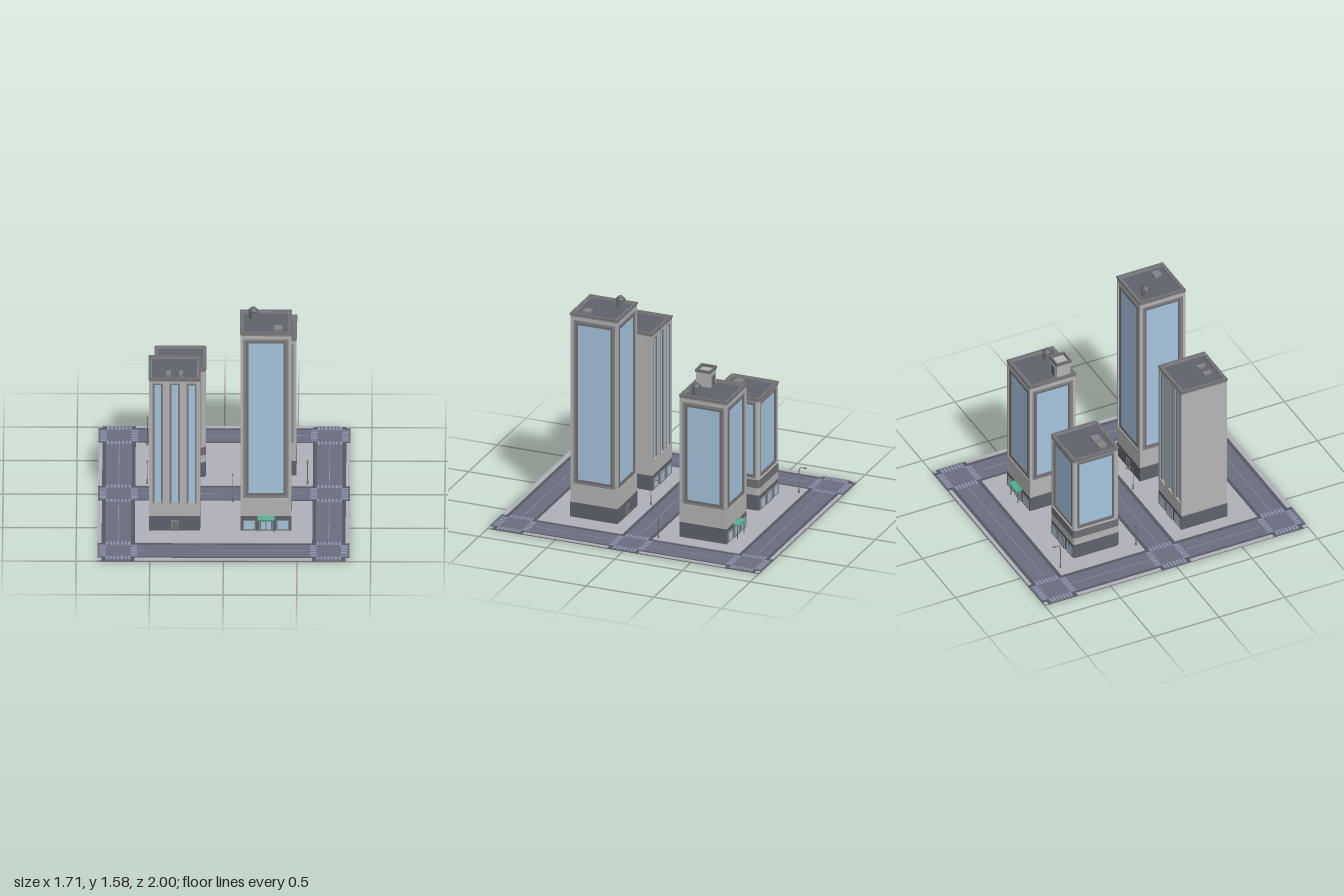
import * as THREE from 'three';

const mat = (color) => new THREE.MeshStandardMaterial({ color, flatShading: true });
const M = {
  wall: mat(0xb4b4b4), trim: mat(0x858588), edge: mat(0x707074), dark: mat(0x5f626c),
  glass: mat(0xa5c4dd), green: mat(0x4fae8c), walk: mat(0xb0b0b8), road: mat(0x696d7e),
  gutter: mat(0x555864), paint: mat(0x8d92ac), under: mat(0x5a5a5e),
};
const T = 0.01; // pavement level

function add(parent, name, geo, material, x = 0, y = 0, z = 0) {
  const m = new THREE.Mesh(geo, material);
  m.name = name;
  m.position.set(x, y, z);
  parent.add(m);
  return m;
}
const box = (p, name, material, w, h, d, x, y, z) =>
  add(p, name, new THREE.BoxGeometry(w, h, d), material, x, y, z);

// rectangle path with optional rounded corners
function rect(S, w, h, r = 0, cx = 0, cy = 0) {
  const s = new S(), a = w / 2, b = h / 2;
  if (!r) {
    s.moveTo(cx - a, cy - b).lineTo(cx + a, cy - b).lineTo(cx + a, cy + b).lineTo(cx - a, cy + b).closePath();
    return s;
  }
  s.moveTo(cx - a + r, cy - b);
  s.absarc(cx + a - r, cy - b + r, r, -Math.PI / 2, 0);
  s.absarc(cx + a - r, cy + b - r, r, 0, Math.PI / 2);
  s.absarc(cx - a + r, cy + b - r, r, Math.PI / 2, Math.PI);
  s.absarc(cx - a + r, cy - b + r, r, Math.PI, Math.PI * 1.5);
  return s;
}
const extrude = (s, depth) => new THREE.ExtrudeGeometry(s, { depth, bevelEnabled: false, curveSegments: 4 });
function slab(w, h, r, wall = 0) {
  const s = rect(THREE.Shape, w, w, r);
  if (wall) s.holes.push(rect(THREE.Path, w - 2 * wall, w - 2 * wall, r / 2));
  return extrude(s, h).rotateX(-Math.PI / 2);
}
function ring(w, h, t, depth) {
  const s = rect(THREE.Shape, w, h);
  s.holes.push(rect(THREE.Path, w - 2 * t, h - 2 * t));
  return extrude(s, depth);
}

// glazed opening with a stepped frame; z is the back of the recess
function windowUnit(p, x, y0, y1, z, w, t, depth) {
  const h = y1 - y0, y = (y0 + y1) / 2;
  add(p, 'windowOuterFrame', ring(w, h, t * 0.55, depth * 0.55), M.trim, x, y, z);
  add(p, 'windowInnerFrame', ring(w - t * 1.1, h - t * 1.1, t * 0.45, depth * 0.8), M.edge, x, y, z);
  box(p, 'windowGlass', M.glass, w - 2 * t, h - 2 * t, 0.003, x, y, z + 0.002);
}

// ground-floor fronts
function door(p, w, z) {
  add(p, 'serviceDoorFrame', ring(w, 0.08, 0.006, 0.005), M.trim, 0, 0.05, z);
  box(p, 'serviceDoor', M.edge, w - 0.012, 0.074, 0.002, 0, 0.047, z + 0.001);
}
function storefront(p, z, awning) {
  for (const s of [-1, 1]) {
    add(p, 'shopWindowFrame', ring(0.084, 0.076, 0.007, 0.006), M.trim, s * 0.114, 0.053, z);
    box(p, 'shopWindow', M.glass, 0.07, 0.062, 0.003, s * 0.114, 0.053, z + 0.001);
    box(p, 'entranceDoor', M.glass, 0.03, 0.066, 0.003, s * 0.018, 0.045, z + 0.002);
    if (awning) box(p, 'awningPost', M.dark, 0.005, 0.096, 0.005, s * 0.055, 0.058, z + 0.03);
  }
  add(p, 'entranceFrame', ring(0.094, 0.084, 0.01, 0.007), M.trim, 0, 0.052, z);
  box(p, 'entranceMullion', M.trim, 0.005, 0.07, 0.007, 0, 0.047, z + 0.002);
  if (awning) {
    const a = box(p, 'awning', M.green, 0.116, 0.008, 0.044, 0, 0.111, z + 0.02);
    a.rotation.x = 0.2;
  }
}

// one tower; sides run front, left, back, right
function tower(o) {
  const g = new THREE.Group();
  g.name = o.name;
  g.position.set(o.x, 0, o.z);
  const w = 0.346, d = o.round ? 0.02 : 0.012, r = o.round ? 0.02 : 0;
  const h = o.h, y0 = 0.12, y1 = h - 0.02, fw = w - 2 * d;
  add(g, 'groundFloor', slab(w + 0.002, y0 - 0.004, r), M.dark, 0, 0.004, 0);
  box(g, 'core', M.wall, fw, y1 - y0, fw, 0, (y0 + y1) / 2, 0);
  add(g, 'roof', slab(w - 0.02, 0.01, r), M.dark, 0, h - 0.024, 0);
  add(g, 'parapet', slab(w, 0.022, r, 0.02), M.trim, 0, h - 0.022, 0);
  add(g, 'parapetCap', slab(w + 0.008, 0.01, r, 0.02), M.edge, 0, h - 0.008, 0);
  if (o.round) add(g, 'ledge', slab(w + 0.003, 0.06, r), M.edge, 0, 0.175, 0);
  for (const sx of [-1, 1]) for (const sz of [-1, 1]) {
    const geo = o.round ? new THREE.CylinderGeometry(d, d, y1 - y0, 16) : new THREE.BoxGeometry(d, y1 - y0, d);
    const c = w / 2 - (o.round ? d : d / 2);
    add(g, 'cornerPost', geo, M.wall, sx * c, (y0 + y1) / 2, sz * c);
  }
  for (let i = 0; i < 4; i++) {
    const f = new THREE.Group();
    f.name = 'facade';
    f.rotation.y = i * Math.PI / 2;
    g.add(f);
    const z = w / 2 - d;
    let holes = [];
    if (o.round) holes = [[0, 0.24, h - 0.022, fw - 0.002, 0.026]];
    else if (!o.strips) holes = [[0, 0.255, h - 0.046, 0.308, 0.034]];
    else if (i % 2 === 0) holes = [-0.115, 0, 0.115].map((x) => [x, 0.215, h - 0.036, 0.07, 0.013]);
    const s = rect(THREE.Shape, fw, y1 - y0, 0, 0, (y0 + y1) / 2);
    for (const [x, a, b, hw] of holes) s.holes.push(rect(THREE.Path, hw, b - a, 0, x, (a + b) / 2));
    add(f, 'wallPanel', extrude(s, d), M.wall, 0, 0, z);
    for (const [x, a, b, hw, t] of holes) {
      windowUnit(f, x, a, b, z, hw, t, d);
      if (o.strips) box(f, 'windowSill', M.wall, 0.05, 0.014, 0.016, x, 0.222, z + 0.008);
    }
    if (i === o.main) storefront(f, w / 2 + 0.001, o.awning);
    else if (i === (o.main + 2) % 4) door(f, 0.05, w / 2 + 0.001);
  }
  // roof equipment, at positions relative to the tower centre
  for (const [x, z, vw, vd] of o.vents || []) {
    box(g, 'roofVent', M.trim, vw, 0.022, vd, x, h - 0.008, z);
  }
  if (o.tank) {
    const [x, z] = o.tank;
    add(g, 'waterTank', new THREE.CylinderGeometry(0.028, 0.028, 0.06, 12), M.edge, x, h + 0.012, z);
    add(g, 'tankRim', new THREE.CylinderGeometry(0.034, 0.034, 0.008, 12), M.dark, x, h + 0.043, z);
    add(g, 'tankCap', new THREE.CylinderGeometry(0.014, 0.032, 0.02, 12), M.dark, x, h + 0.057, z);
  }
  if (o.stair) {
    const [x, z] = o.stair;
    box(g, 'stairHouse', M.wall, 0.104, 0.115, 0.104, x, h + 0.035, z);
    add(g, 'stairHouseCap', slab(0.114, 0.02, 0, 0.012), M.edge, x, h + 0.09, z);
    box(g, 'stairDoorFrame', M.trim, 0.054, 0.082, 0.008, x, h + 0.025, z - 0.053);
    box(g, 'stairDoor', M.dark, 0.04, 0.074, 0.01, x, h + 0.022, z - 0.053);
  }
  return g;
}

// street lamp with an arm bending toward dir along z
function lamp(x, z, dir) {
  const g = new THREE.Group();
  g.name = 'streetLamp';
  g.position.set(x, 0, z);
  const pts = [[0, T], [0, 0.165], [0.004, 0.185], [0.016, 0.196], [0.052, 0.198]];
  const curve = new THREE.CatmullRomCurve3(pts.map(([a, y]) => new THREE.Vector3(0, y, a * dir)));
  add(g, 'lampPole', new THREE.TubeGeometry(curve, 24, 0.003, 6), M.edge);
  add(g, 'lampFoot', new THREE.CylinderGeometry(0.004, 0.007, 0.035, 8), M.edge, 0, T + 0.017, 0);
  box(g, 'lampHead', M.edge, 0.012, 0.005, 0.024, 0, 0.197, 0.044 * dir);
  return g;
}

function streets() {
  const g = new THREE.Group();
  g.name = 'streets';
  const X = [-0.715, 0.715], Z = [-0.862, 0, 0.852], half = 0.113, lane = 0.088;
  const flat = (name, m, x0, x1, z0, z1, y) =>
    box(g, name, m, x1 - x0, 0.002, z1 - z0, (x0 + x1) / 2, y - 0.001, (z0 + z1) / 2);
  box(g, 'basePlate', M.under, 1.71, 0.004, 2, 0, 0.002, 0);
  // pavement blocks fill the gaps between the roads
  const xs = [-0.855, X[0] - half, X[0] + half, X[1] - half, X[1] + half, 0.855];
  const zs = [-1, ...Z.flatMap((z) => [z - half, z + half]), 1];
  for (let i = 0; i < xs.length; i += 2) for (let j = 0; j < zs.length; j += 2) {
    box(g, 'pavement', M.walk, xs[i + 1] - xs[i], T - 0.003, zs[j + 1] - zs[j],
      (xs[i] + xs[i + 1]) / 2, (T + 0.003) / 2, (zs[j] + zs[j + 1]) / 2);
  }
  for (const x of X) {
    flat('gutter', M.gutter, x - half, x + half, -1, 1, 0.0055);
    flat('road', M.road, x - lane, x + lane, -1, 1, 0.0065);
  }
  for (const z of Z) {
    flat('gutter', M.gutter, -0.855, 0.855, z - half, z + half, 0.005);
    flat('road', M.road, -0.855, 0.855, z - lane, z + lane, 0.007);
    flat('laneLine', M.paint, -0.57, 0.57, z - 0.002, z + 0.002, 0.008);
  }
  // lane lines and crossings
  for (const x of X) {
    for (const [a, b] of [[-0.71, -0.15], [0.15, 0.70]]) flat('laneLine', M.paint, x - 0.002, x + 0.002, a, b, 0.008);
    for (const z of Z) for (const s of [-1, 1]) for (let k = -3; k <= 3; k++) {
      const o = k * 0.025, c = s * 0.106;
      flat('crossingStripe', M.paint, x + o - 0.007, x + o + 0.007, z + c - 0.022, z + c + 0.022, 0.0084);
      flat('crossingStripe', M.paint, x + c - 0.022, x + c + 0.022, z + o - 0.007, z + o + 0.007, 0.0084);
    }
  }
  return g;
}

export function createModel() {
  const model = new THREE.Group();
  model.name = 'cityBlock';
  model.add(streets());
  model.add(
    tower({ name: 'tallTower', x: 0.287, z: 0.381, h: 1.512, main: 0, awning: true,
      tank: [-0.087, -0.086], vents: [[0.083, 0.083, 0.058, 0.054]] }),
    tower({ name: 'stripTower', x: -0.333, z: 0.387, h: 1.166, main: 2, strips: true,
      vents: [[-0.041, 0.085, 0.03, 0.06], [0.043, 0.085, 0.03, 0.06]] }),
    tower({ name: 'stairTower', x: 0.318, z: -0.437, h: 1.056, main: 2, awning: true,
      tank: [0.087, 0.086], stair: [-0.099, 0.094] }),
    tower({ name: 'roundedTower', x: -0.298, z: -0.416, h: 0.83, main: 2, round: true,
      vents: [[-0.082, 0.083, 0.058, 0.058], [0.002, 0.083, 0.058, 0.058]] }),
  );
  model.add(lamp(-0.522, -0.14, 1), lamp(0.567, -0.14, 1), lamp(0.06, 0.13, -1), lamp(-0.522, -0.715, -1));
  return model;
}
